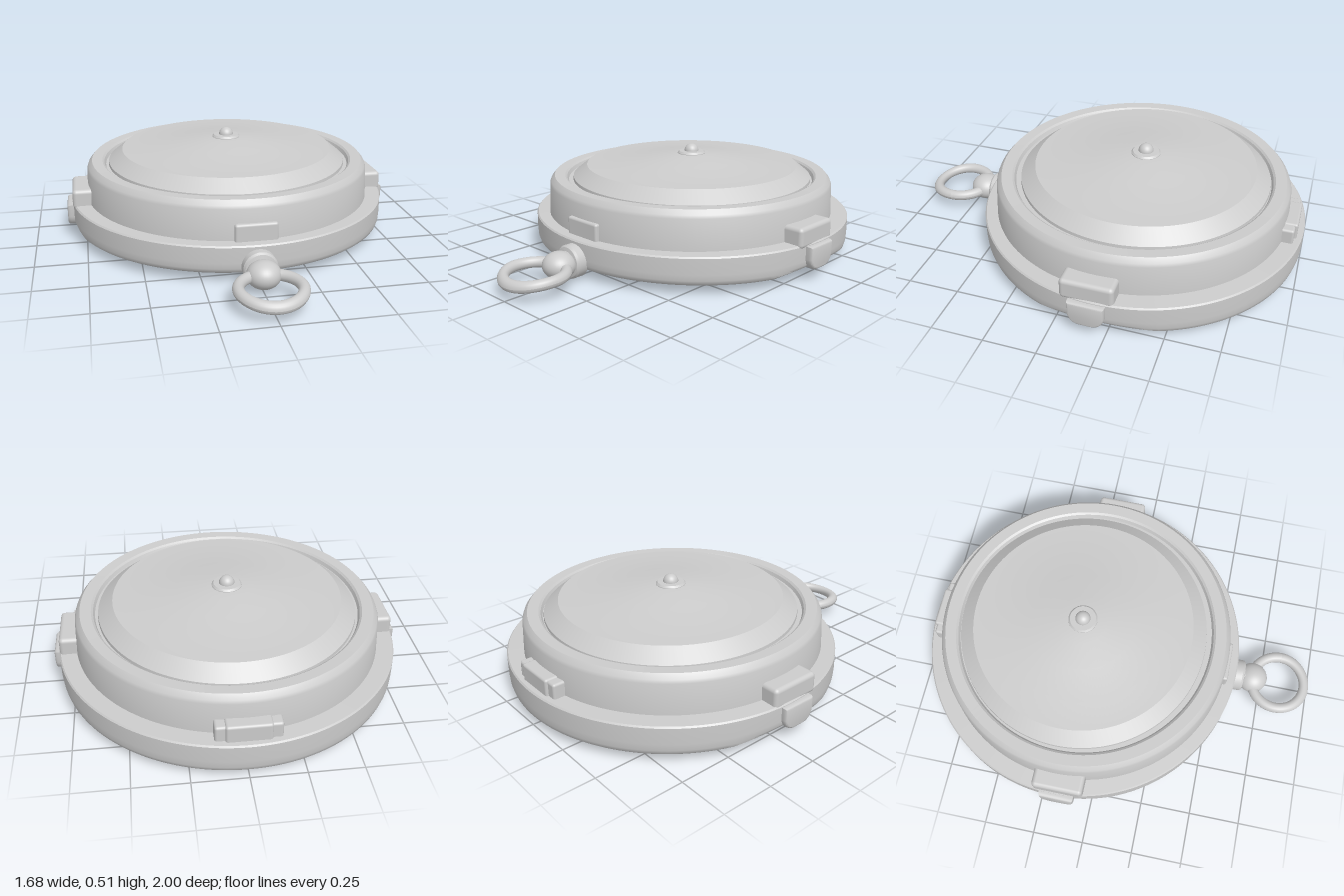
import * as THREE from 'three';
import { toCreasedNormals } from 'three/addons/utils/BufferGeometryUtils.js';
import { RoundedBoxGeometry } from 'three/addons/geometries/RoundedBoxGeometry.js';

const CZ = -0.197; // centre of the round case
const material = new THREE.MeshStandardMaterial({ color: 0xcccccc, side: THREE.DoubleSide });

export function createModel() {
  const model = new THREE.Group();

  const add = (name, geometry, x = 0, y = 0, z = 0) => {
    const mesh = new THREE.Mesh(geometry, material);
    mesh.name = name;
    mesh.position.set(x, y, z);
    model.add(mesh);
    return mesh;
  };
  const lathe = (points, segments = 128) =>
    new THREE.LatheGeometry(points.map(([r, y]) => new THREE.Vector2(r, y)), segments);
  const creased = (geometry, angle = 0.4) => toCreasedNormals(geometry, angle);
  const block = (name, w, h, d, x, y, z, r = 0.012) =>
    add(name, new RoundedBoxGeometry(w, h, d, 3, r), x, y, z);
  // Moves every vertex by a rule that edits the given vector
  const reshape = (geometry, rule) => {
    const p = geometry.attributes.position, v = new THREE.Vector3();
    for (let i = 0; i < p.count; i++) {
      rule(v.fromBufferAttribute(p, i));
      p.setXYZ(i, v.x, v.y, v.z);
    }
    geometry.computeVertexNormals();
    return geometry;
  };

  // Lower rim: slightly wider than deep, arched beneath the side clasps,
  // its underside a little lower towards the back
  const rim = reshape(lathe([
    [0.6, 0.035], [0.66, 0.034], [0.72, 0.035], [0.76, 0.037], [0.785, 0.043], [0.797, 0.053],
    [0.802, 0.07], [0.804, 0.1], [0.804, 0.178], [0.798, 0.185], [0.72, 0.187],
  ], 160), (v) => {
    const r = Math.hypot(v.x, v.z);
    if (v.y < 0.12 && r > 0.63) {
      const arch = Math.max(0, 1 - (v.z / 0.27) ** 2) * (Math.min(r, 0.8) - 0.63) / 0.17;
      v.y += (0.04 * arch + 0.012 * v.z * (r - 0.63) / 0.14) * (1 - v.y / 0.12);
    }
    v.x *= 1.015;
  });
  add('lowerRim', creased(rim, 0.6), 0, 0, CZ);

  // Shallow cone underneath, pleated round its edge
  const bottom = reshape(
    lathe([[0.001, 0.003], [0.2, 0.012], [0.4, 0.021], [0.5, 0.026], [0.56, 0.031], [0.62, 0.036]], 240),
    (v) => {
      const edge = Math.max(0, (Math.hypot(v.x, v.z) - 0.38) / 0.24);
      const a = Math.atan2(v.x, v.z);
      v.y += 0.007 * edge * Math.sin(a * 48 + 2 * Math.sin(a * 5));
    });
  add('bottomPlate', bottom, 0, 0, CZ);

  // Upper ring with chamfered edge and inner lip
  add('upperRing', creased(lathe([
    [0.735, 0.18], [0.728, 0.335], [0.722, 0.35], [0.703, 0.372],
    [0.65, 0.37], [0.64, 0.362], [0.632, 0.345], [0.6, 0.345],
  ])), 0, 0, -0.186);

  // Raised lid, bevelled at the edge and rising gently to the middle
  add('lid', creased(lathe([
    [0.618, 0.34], [0.616, 0.36], [0.545, 0.417],
    [0.41, 0.421], [0.25, 0.443], [0.12, 0.461], [0.001, 0.472],
  ]), 0.3), 0, 0, CZ);

  // Washer and round knob
  add('knobWasher', creased(lathe([[0.072, 0.455], [0.072, 0.468], [0.064, 0.477], [0.001, 0.478]], 40)), 0, 0, CZ);
  add('knob', new THREE.SphereGeometry(0.037, 28, 18), 0, 0.477, CZ);

  // Side clasps: block on the rim and a hanging catch with a rounded lower end
  const catchShape = new THREE.Shape();
  catchShape.moveTo(-0.076, 0.165);
  catchShape.lineTo(-0.076, 0.115);
  catchShape.quadraticCurveTo(-0.068, 0.072, -0.03, 0.068);
  catchShape.lineTo(0.03, 0.068);
  catchShape.quadraticCurveTo(0.068, 0.072, 0.076, 0.115);
  catchShape.lineTo(0.076, 0.165);
  const catchGeometry = new THREE.ExtrudeGeometry(catchShape, {
    depth: 0.04, bevelThickness: 0.018, bevelSize: 0.01, bevelSegments: 4, curveSegments: 8,
  });
  for (const side of [-1, 1]) {
    block(side > 0 ? 'leftClaspBlock' : 'rightClaspBlock', 0.13, 0.1, 0.25, side * 0.745, 0.217, -0.16, 0.02);
    const hook = add(side > 0 ? 'leftCatch' : 'rightCatch', creased(catchGeometry, 0.6), side * 0.782, 0, -0.165);
    hook.rotation.y = side * Math.PI / 2;
  }

  // Front tab and stepped back clasp
  block('frontTab', 0.2, 0.1, 0.06, 0, 0.218, 0.53);
  block('backClaspBase', 0.29, 0.085, 0.07, 0, 0.215, -0.925);
  block('backClaspBlock', 0.2, 0.1, 0.1, 0, 0.215, -0.922);

  // Neck and ball that hold the hanging ring
  const neck = add('ringNeck', creased(lathe([
    [0.05, -0.03], [0.067, 0.0], [0.08, 0.006], [0.08, 0.054], [0.072, 0.064], [0.055, 0.068], [0.055, 0.09],
  ], 36)), 0, 0.087, 0.587);
  neck.rotation.x = Math.PI / 2;
  const ball = add('ringBall', new THREE.SphereGeometry(0.078, 32, 22), 0, 0.087, 0.698);
  ball.scale.set(1, 0.82, 1);

  // Hanging ring, drooping at the front
  const ring = reshape(new THREE.TorusGeometry(0.139, 0.026, 18, 64).rotateX(Math.PI / 2), (v) => {
    v.y -= 0.02 * (Math.max(0, v.z) / 0.165) ** 2;
  });
  add('hangingRing', ring, 0, 0.087, 0.834);

  return model;
}
